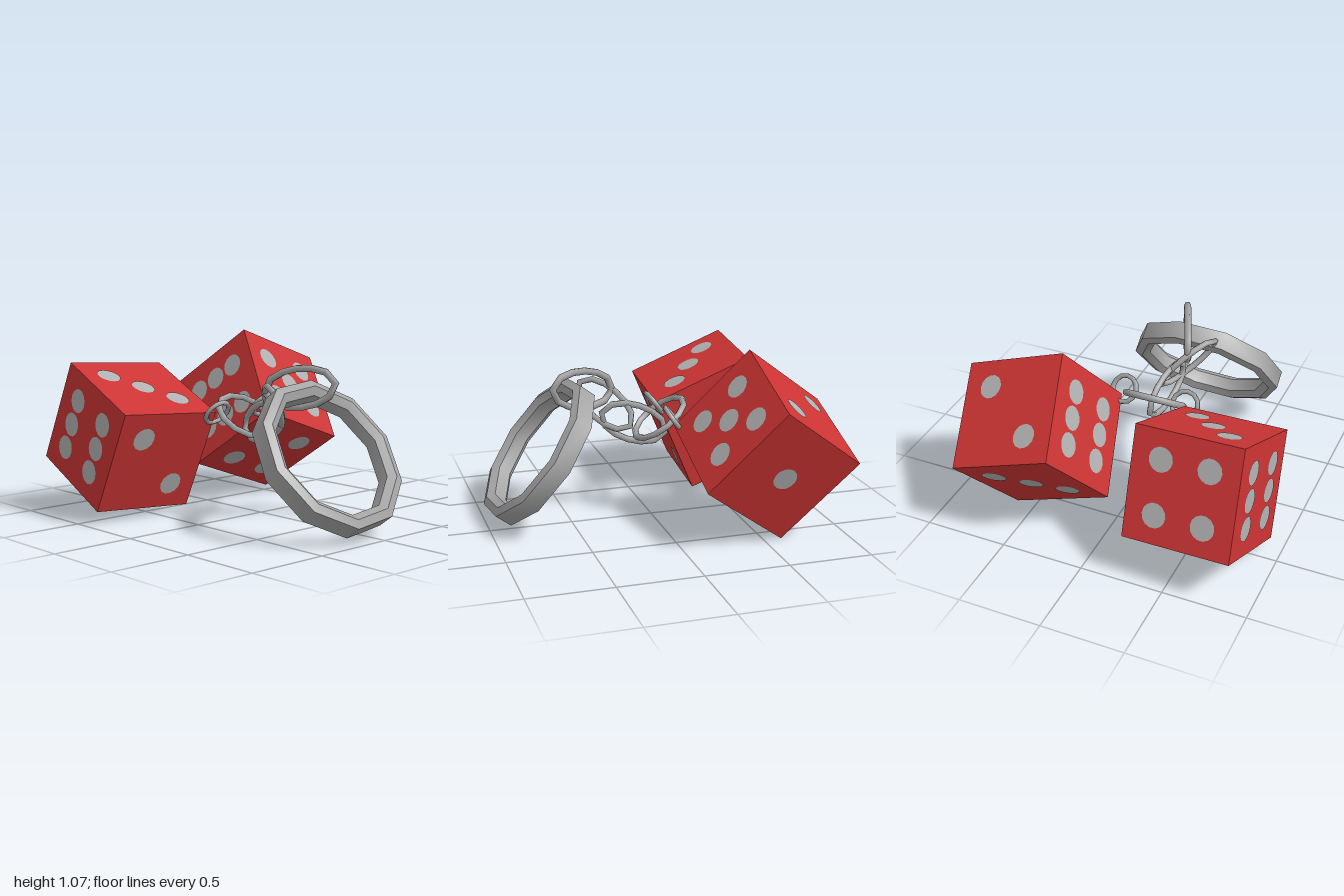
import * as THREE from 'three';
import { toCreasedNormals } from 'three/addons/utils/BufferGeometryUtils.js';

const V = (x, y, z) => new THREE.Vector3(x, y, z);
const mat = (name, color) => {
  const m = new THREE.MeshStandardMaterial({ color });
  m.name = name;
  return m;
};

// Places an object by its centre, its local z axis and a hint for its local x axis
function place(obj, centre, zAxis, xHint) {
  const z = zAxis.clone().normalize();
  const y = z.clone().cross(xHint).normalize();
  const x = y.clone().cross(z);
  obj.quaternion.setFromRotationMatrix(new THREE.Matrix4().makeBasis(x, y, z));
  obj.position.copy(centre);
  return obj;
}

// Pip layouts, in units of the pip spacing
const PIPS = {
  1: [[0, 0]],
  2: [[1, 1], [-1, -1]],
  3: [[1, 1], [0, 0], [-1, -1]],
  4: [[1, 1], [1, -1], [-1, 1], [-1, -1]],
  5: [[1, 1], [1, -1], [0, 0], [-1, 1], [-1, -1]],
  6: [[1, 1], [1, 0], [1, -1], [-1, 1], [-1, 0], [-1, -1]],
};

// Die faces: pip count, outward normal, first and second axis for the pips
const FACES = [
  [6, V(0, 0, 1), V(1, 0, 0), V(0, 1, 0)],
  [1, V(0, 0, -1), V(1, 0, 0), V(0, 1, 0)],
  [2, V(1, 0, 0), V(0, 0, 1), V(0, 1, 0)],
  [4, V(-1, 0, 0), V(0, 0, 1), V(0, 1, 0)],
  [3, V(0, 1, 0), V(1, 0, 0), V(0, 0, -1)],
  [5, V(0, -1, 0), V(1, 0, 0), V(0, 0, 1)],
];

function makeDie(name, red, pipMat) {
  const size = 0.645;
  const die = new THREE.Group();
  die.name = name;
  const body = new THREE.Mesh(new THREE.BoxGeometry(size, size, size), red);
  body.name = 'dieBody';
  die.add(body);
  const disc = new THREE.CircleGeometry(0.072, 14);
  for (const [count, n, p, q] of FACES) {
    for (const [i, j] of PIPS[count]) {
      const pip = new THREE.Mesh(disc, pipMat);
      pip.name = 'pip';
      const centre = n.clone().multiplyScalar(size / 2 + 0.004)
        .addScaledVector(p, i * 0.145).addScaledVector(q, j * 0.158);
      die.add(place(pip, centre, n, p));
    }
  }
  return die;
}

// Closed oval wire loop, long half a along local x, short half b along local y
function makeLink(name, a, b, r, material) {
  const pts = [];
  for (let i = 0; i < 12; i++) {
    const t = (i / 12) * Math.PI * 2;
    pts.push(V(a * Math.cos(t), b * Math.sin(t), 0));
  }
  const curve = new THREE.CatmullRomCurve3(pts, true);
  const link = new THREE.Mesh(new THREE.TubeGeometry(curve, 12, r, 6, true), material);
  link.name = name;
  return link;
}

export function createModel() {
  const group = new THREE.Group();
  group.name = 'diceKeyring';
  const red = mat('red', 0xcc3434);
  const pipGrey = mat('pipGrey', 0xb0b0b0);
  const metal = mat('metalGrey', 0xa4a4a4);

  // Two tumbled dice
  group.add(place(makeDie('frontDie', red, pipGrey),
    V(-0.553, 0.485, 0.572), V(-0.054, 0.062, 1), V(0.915, -0.39, 0.07)));
  group.add(place(makeDie('backDie', red, pipGrey),
    V(-0.553, 0.543, -0.469), V(0, 0.342, 0.94), V(-0.62, 0.737, -0.268)));

  // Large ten-sided key ring with a bevelled band section
  const profile = [
    [0.48, -0.055], [0.48, 0.055], [0.43, 0.072], [0.385, 0.04],
    [0.385, -0.04], [0.43, -0.072], [0.48, -0.055],
  ].map(([x, y]) => new THREE.Vector2(x, y));
  const ringGeo = new THREE.LatheGeometry(profile, 10);
  ringGeo.rotateX(Math.PI / 2);
  ringGeo.rotateZ(Math.PI / 2);
  const ring = new THREE.Mesh(toCreasedNormals(ringGeo, 0.8), metal);
  ring.name = 'keyRing';
  group.add(place(ring, V(0.67, 0.445, 0.108), V(0.8, 0.6, -0.01), V(0.06, -0.08, 0.96)));

  // Chain: name, long half, short half, wire radius, centre, normal, long axis
  const links = [
    ['ringLink', 0.222, 0.112, 0.022, V(0.4, 0.81, 0.07), V(0.385, 0, 0.92), V(0.91, 0.16, -0.38)],
    ['upperLink', 0.21, 0.1, 0.02, V(0.25, 0.69, 0.135), V(0.42, 0.42, -0.8), V(0.58, 0.54, 0.6)],
    ['lowerLink', 0.205, 0.11, 0.02, V(0.09, 0.58, 0.065), V(-0.15, 0, 0.99), V(0.93, 0.33, 0.15)],
    ['gatherRing', 0.18, 0.18, 0.02, V(-0.07, 0.6, 0.055), V(0.6, 0.8, 0), V(0, 0, 1)],
    ['frontDieLoop', 0.08, 0.08, 0.015, V(-0.1, 0.635, 0.26), V(0.8, -0.6, 0), V(0, 0, 1)],
    ['backDieLoop', 0.08, 0.08, 0.015, V(-0.1, 0.645, -0.13), V(0.8, -0.6, 0.15), V(0, 0, 1)],
  ];
  for (const [name, a, b, r, centre, normal, axis] of links) {
    group.add(place(makeLink(name, a, b, r, metal), centre, normal, axis));
  }
  return group;
}
